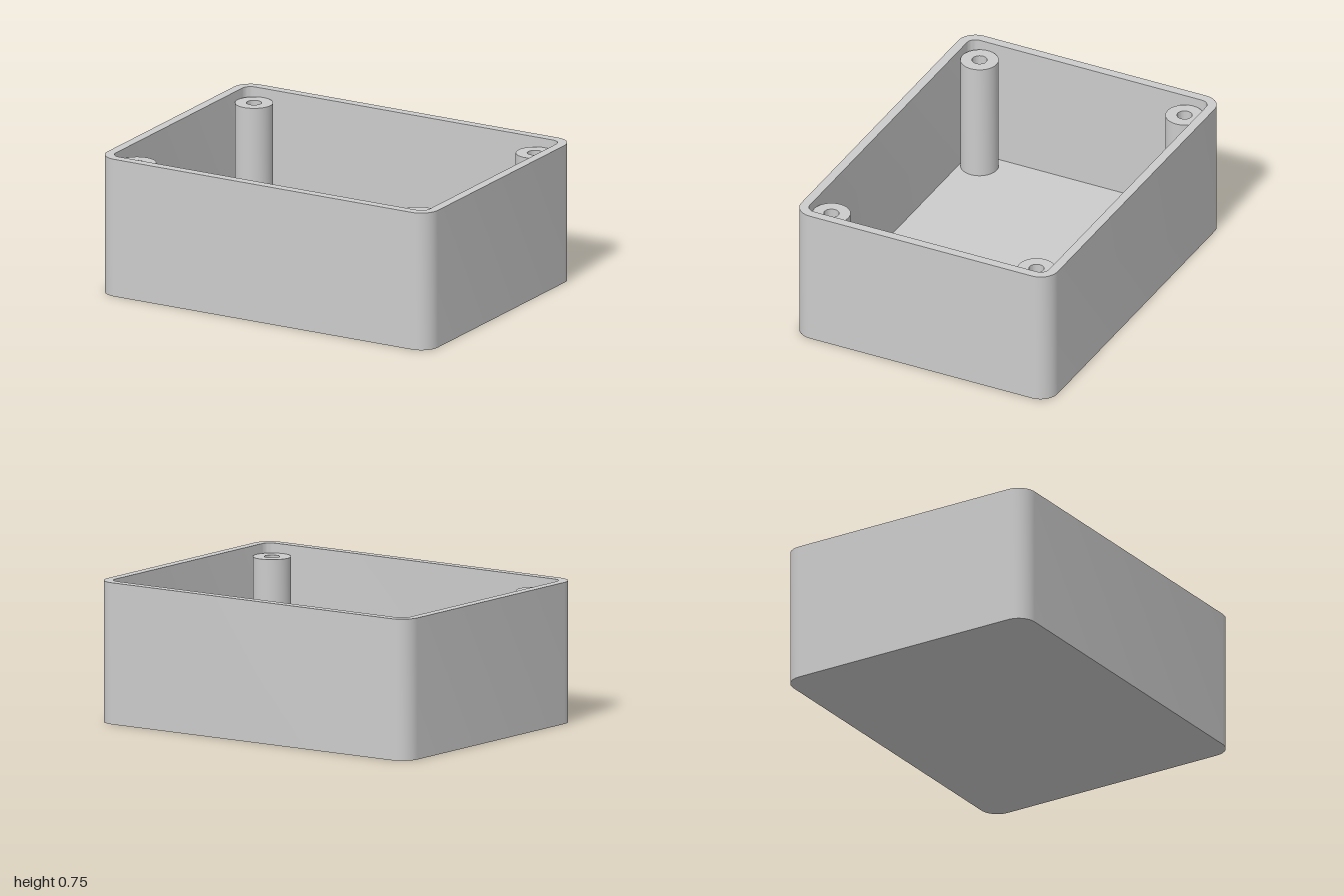
import * as THREE from 'three';
import { toCreasedNormals } from 'three/addons/utils/BufferGeometryUtils.js';

const WIDTH = 2, DEPTH = 1.5, HEIGHT = 0.75, WALL = 0.05, CORNER = 0.1;
const POST = { x: 0.85, z: 0.6, radius: 0.1, hole: 0.04, top: 0.7 };
const CORNER_STEPS = 12;

// Rounded rectangle at height y, inset from the outer outline
function outline(inset, y) {
  const r = CORNER - inset;
  const cx = WIDTH / 2 - CORNER, cz = DEPTH / 2 - CORNER;
  const points = [];
  [[1, 1], [-1, 1], [-1, -1], [1, -1]].forEach(([sx, sz], quarter) => {
    for (let i = 0; i <= CORNER_STEPS; i++) {
      const a = (quarter + i / CORNER_STEPS) * Math.PI / 2;
      points.push(new THREE.Vector3(sx * cx + r * Math.cos(a), y, sz * cz + r * Math.sin(a)));
    }
  });
  return points;
}

// Skin between successive closed loops
function skin(loops) {
  const positions = [];
  const triangle = (a, b, c) => {
    if (a.equals(b) || b.equals(c) || c.equals(a)) return;
    for (const p of [a, b, c]) positions.push(p.x, p.y, p.z);
  };
  for (let k = 0; k < loops.length - 1; k++) {
    const lo = loops[k], hi = loops[k + 1];
    for (let i = 0; i < lo.length; i++) {
      const j = (i + 1) % lo.length;
      triangle(lo[i], hi[i], hi[j]);
      triangle(lo[i], hi[j], lo[j]);
    }
  }
  const geometry = new THREE.BufferGeometry();
  geometry.setAttribute('position', new THREE.Float32BufferAttribute(positions, 3));
  return toCreasedNormals(geometry, Math.PI / 6);
}

export function createModel() {
  const model = new THREE.Group();
  model.name = 'openEnclosure';
  const material = new THREE.MeshStandardMaterial({ color: 0xcccccc });

  // Open tray: underside, outer walls, rim, inner walls, floor
  const centre = (y) => outline(0, y).map(() => new THREE.Vector3(0, y, 0));
  const tray = new THREE.Mesh(skin([
    centre(0),
    outline(0, 0),
    outline(0, HEIGHT),
    outline(WALL, HEIGHT),
    outline(WALL, WALL),
    centre(WALL),
  ]), material);
  tray.name = 'tray';
  model.add(tray);

  // Hollow screw posts standing on the floor in the four corners
  const profile = [
    [POST.radius, WALL], [POST.radius, POST.top],
    [POST.hole, POST.top], [POST.hole, WALL],
  ].map(([r, y]) => new THREE.Vector2(r, y));
  const postGeometry = toCreasedNormals(new THREE.LatheGeometry(profile, 48), Math.PI / 6);
  for (const sx of [-1, 1]) {
    for (const sz of [-1, 1]) {
      const post = new THREE.Mesh(postGeometry, material);
      post.name = `${sz > 0 ? 'front' : 'back'}${sx > 0 ? 'Left' : 'Right'}ScrewPost`;
      post.position.set(sx * POST.x, 0, sz * POST.z);
      model.add(post);
    }
  }
  return model;
}
